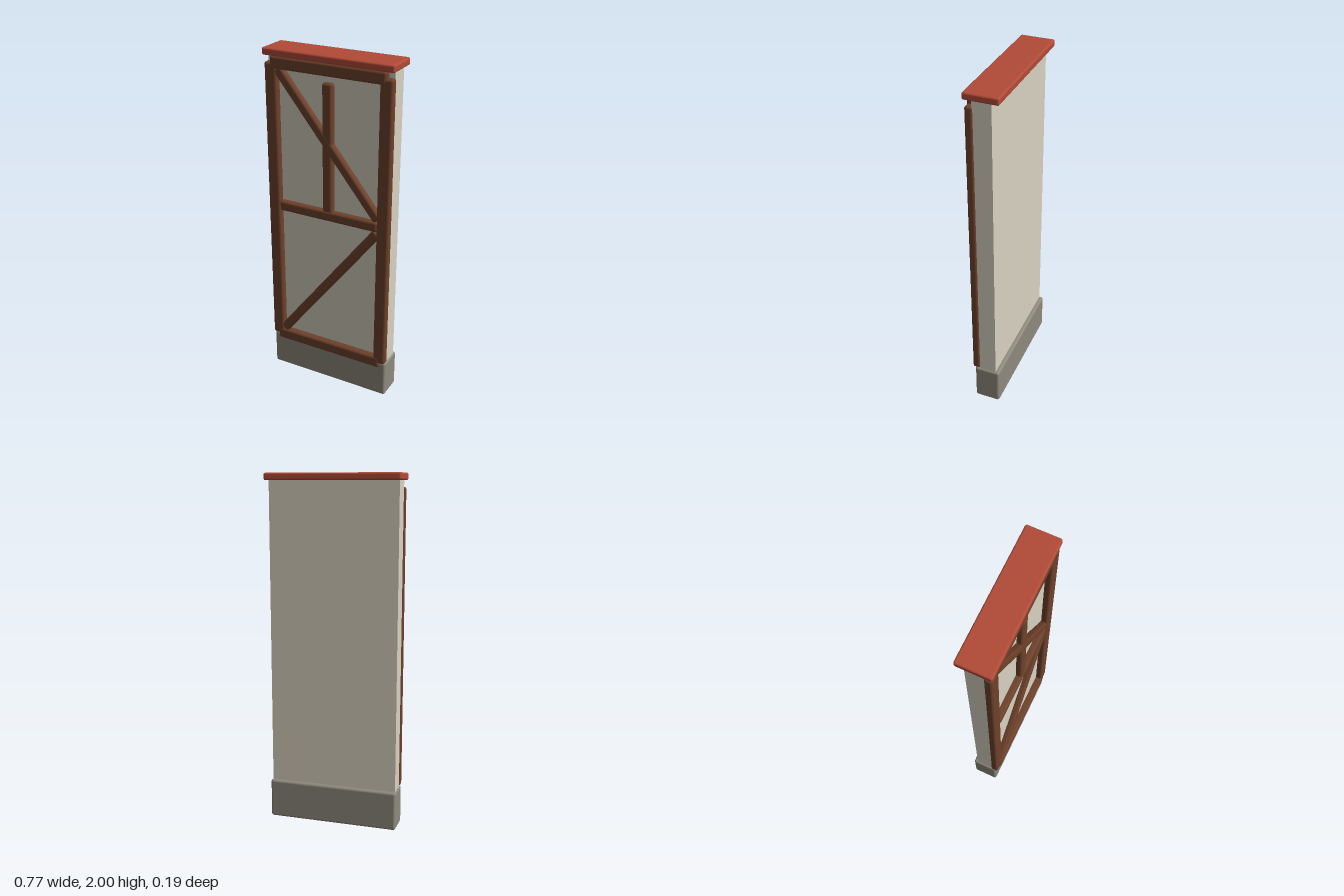
import * as THREE from 'three';
import { RoundedBoxGeometry } from 'three/addons/geometries/RoundedBoxGeometry.js';

const material = (name, color) => {
  const m = new THREE.MeshStandardMaterial({ color });
  m.name = name;
  return m;
};

export function createModel() {
  const group = new THREE.Group();
  group.name = 'timberFramedWall';
  const plaster = material('plaster', 0xd8d2c1);
  const timber = material('timber', 0x6e412b);
  const stone = material('stone', 0x8f8a7d);
  const tile = material('redTile', 0xb24b38);

  const add = (name, geometry, mat, x, y, z) => {
    const mesh = new THREE.Mesh(geometry, mat);
    mesh.name = name;
    mesh.position.set(x, y, z);
    group.add(mesh);
    return mesh;
  };

  // Rounded beam running between two points on the front face
  const beam = (name, x1, y1, x2, y2, width, front = 0.09, radius = 0.014) => {
    const depth = front - 0.045;
    const length = Math.hypot(x2 - x1, y2 - y1);
    const mesh = add(name, new RoundedBoxGeometry(width, length, depth, 3, radius),
      timber, (x1 + x2) / 2, (y1 + y2) / 2, front - depth / 2);
    mesh.rotation.z = Math.atan2(x1 - x2, y2 - y1);
  };

  // Plinth, plaster panel and capping
  add('stoneBase', new RoundedBoxGeometry(0.756, 0.225, 0.15, 3, 0.014), stone, 0, 0.1125, 0);
  add('plasterPanel', new THREE.BoxGeometry(0.74, 1.77, 0.104), plaster, 0, 1.085, 0);
  add('roofCap', new RoundedBoxGeometry(0.77, 0.04, 0.192, 3, 0.01), tile, 0, 1.98, 0);

  // Corner posts
  for (const side of [-1, 1]) {
    beam(side > 0 ? 'leftPost' : 'rightPost', side * 0.34, 0.225, side * 0.34, 1.925, 0.074);
  }

  // Horizontal rails
  beam('topRail', -0.34, 1.926, 0.34, 1.926, 0.07, 0.092);
  beam('bottomRail', -0.34, 0.23, 0.34, 0.23, 0.07, 0.092);
  beam('middleRail', -0.306, 1.1, 0.306, 1.1, 0.06, 0.088);

  // Centre stud and diagonal braces
  beam('centreStud', 0, 1.12, 0, 1.855, 0.06, 0.086);
  beam('upperBrace', -0.305, 1.895, 0.305, 1.14, 0.055, 0.087);
  beam('lowerBrace', -0.305, 0.268, 0.305, 1.065, 0.055, 0.087);

  return group;
}
